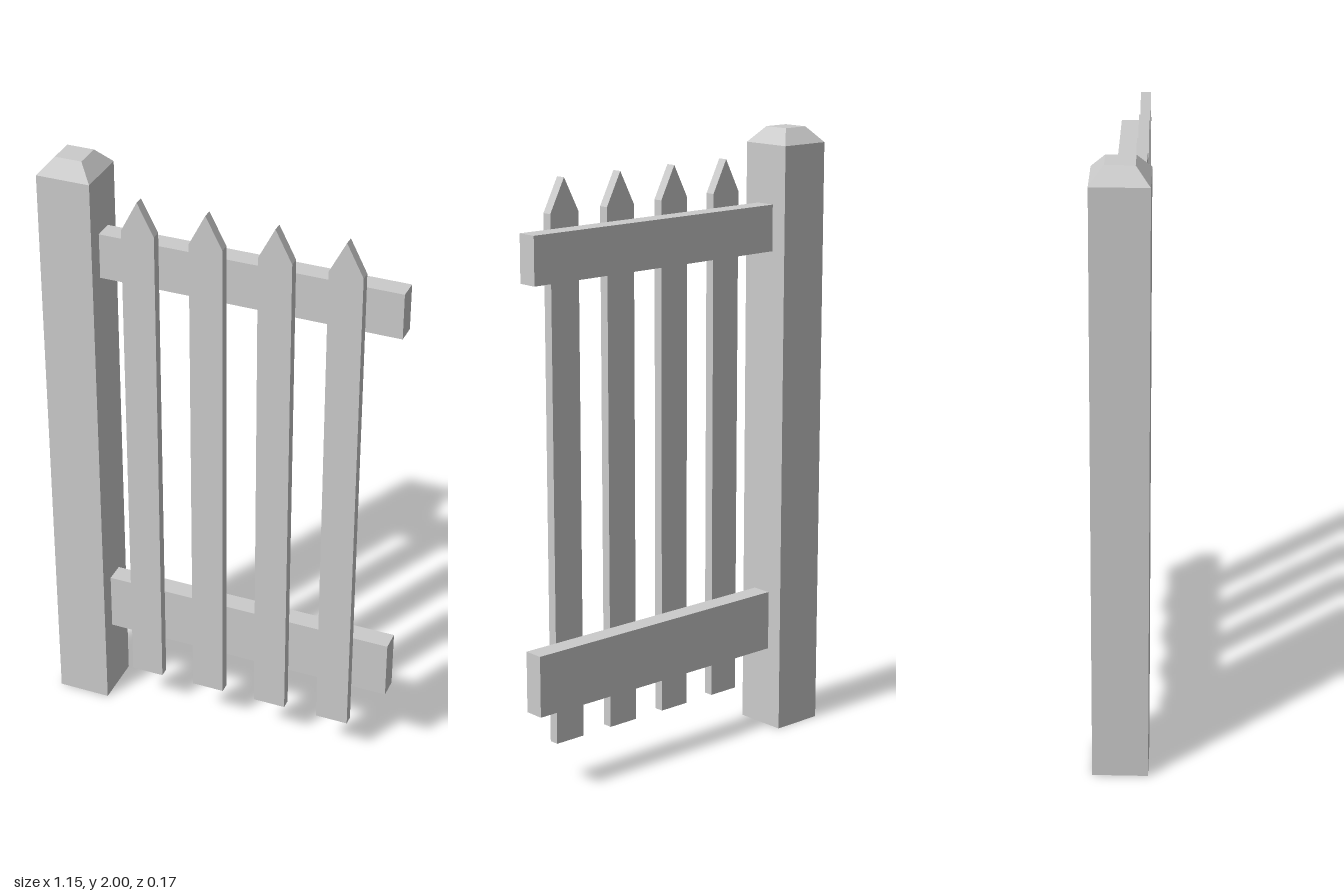
import * as THREE from 'three';

export function createModel() {
  const fence = new THREE.Group();
  fence.name = 'picketFence';
  const material = new THREE.MeshStandardMaterial({ color: 0xcccccc, flatShading: true });

  function add(name, geometry, x, y, z) {
    const mesh = new THREE.Mesh(geometry, material);
    mesh.name = name;
    mesh.position.set(x, y, z);
    fence.add(mesh);
  }

  // Square post with a bevelled, flat-topped cap: [half width, height]
  const profile = [[0, 0], [0.0875, 0], [0.0875, 1.95], [0.044, 2], [0, 2]]
    .map(([half, y]) => new THREE.Vector2(half * Math.SQRT2, y));
  add('post', new THREE.LatheGeometry(profile, 4, Math.PI / 4), -0.4875, 0, 0);

  // Horizontal rails butting against the post
  const railLeft = -0.4, railRight = 0.575, railDepth = 0.066;
  for (const [name, bottom, top] of [['lowerRail', 0.27, 0.467], ['upperRail', 1.61, 1.76]]) {
    add(name, new THREE.BoxGeometry(railRight - railLeft, top - bottom, railDepth),
      (railLeft + railRight) / 2, (bottom + top) / 2, 0);
  }

  // Pointed pickets on the front of the rails
  const half = 0.054;
  const outline = new THREE.Shape([
    [-half, 0.135], [half, 0.135], [half, 1.805], [0, 1.91], [-half, 1.805],
  ].map(([x, y]) => new THREE.Vector2(x, y)));
  const picket = new THREE.ExtrudeGeometry(outline, { depth: 0.032, bevelEnabled: false });
  for (let i = 0; i < 4; i++) {
    add(`picket${i + 1}`, picket, -0.257 + i * 0.2205, 0, railDepth / 2);
  }

  return fence;
}
